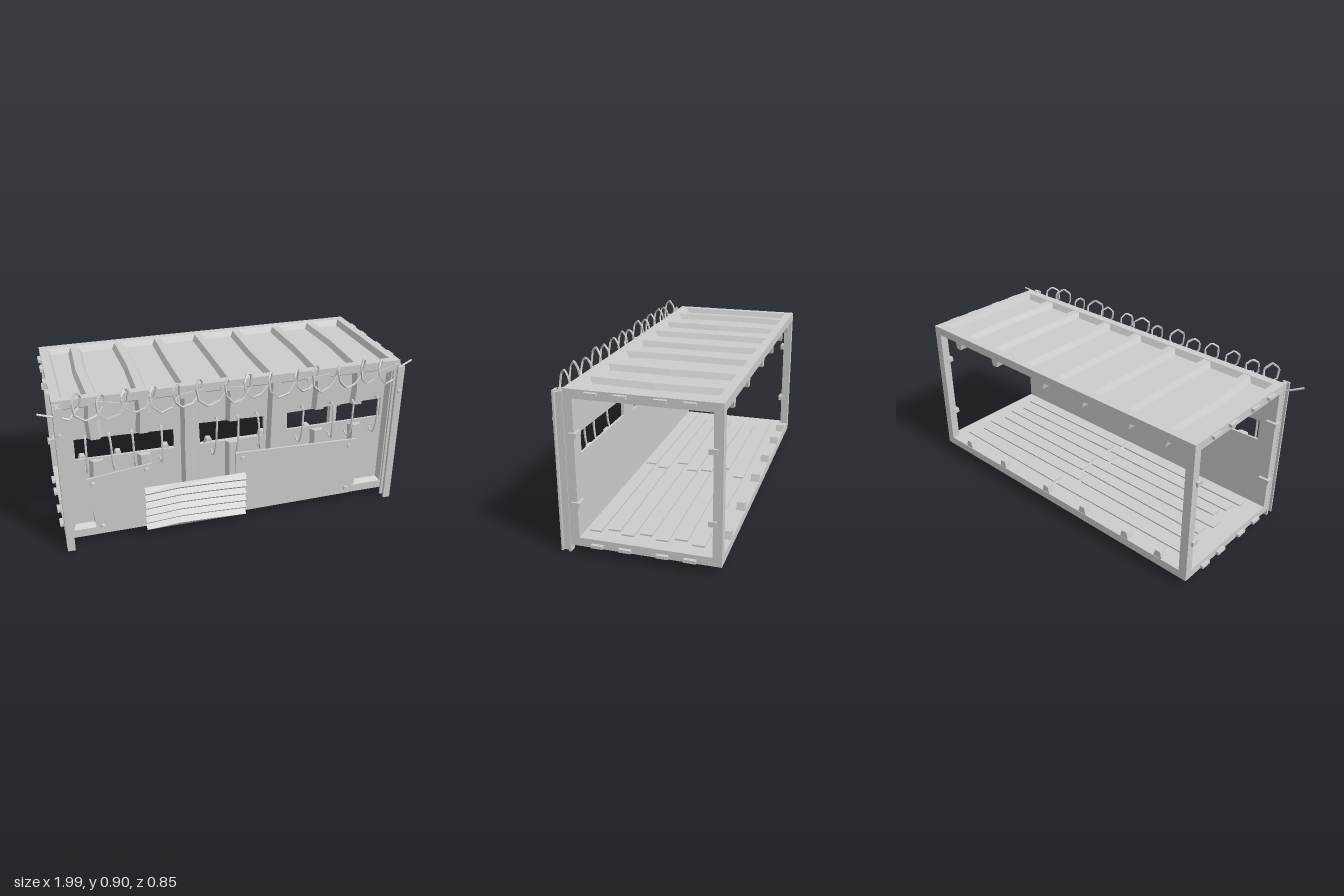
import * as THREE from 'three';

const grey = new THREE.MeshStandardMaterial({ color: 0xcccccc, flatShading: true });
const greyThin = new THREE.MeshStandardMaterial({ color: 0xcccccc, flatShading: true, side: THREE.DoubleSide });

const X0 = -0.92, X1 = 0.935, LEN = X1 - X0, CX = (X0 + X1) / 2;
const Z0 = -0.43, Z1 = 0.32, Y0 = 0.04, Y1 = 0.835, T = 0.045;

function add(parent, name, geo, x = 0, y = 0, z = 0, mat = grey) {
  const m = new THREE.Mesh(geo, mat);
  m.name = name;
  m.position.set(x, y, z);
  parent.add(m);
  return m;
}
const box = (w, h, d) => new THREE.BoxGeometry(w, h, d);

// Beam along z, standing on y = 0; its foot flares by fa (+x side) and fb (-x side), its middle bends sideways
function beam(w, h, len, fa, fb, bend = 0) {
  const g = new THREE.BoxGeometry(w, h, len, 1, 1, 2), p = g.attributes.position;
  for (let i = 0; i < p.count; i++) {
    let x = p.getX(i);
    if (p.getY(i) < 0) x += x > 0 ? fa : -fb;
    if (Math.abs(p.getZ(i)) < 1e-4) x += bend;
    p.setX(i, x);
  }
  return g.translate(0, h / 2, 0);
}

function quad(pts, Type = THREE.Shape) {
  return new Type(pts.map(([x, y]) => new THREE.Vector2(x, y)));
}

// Extruded flat sheet in the xy plane
function sheet(shape, depth) {
  return new THREE.ExtrudeGeometry(shape, { depth, bevelEnabled: false });
}

const ribX = [-0.725, -0.48, -0.245, -0.005, 0.23, 0.48, 0.705];
const bends = [-0.014, 0.01, -0.004, 0.003, -0.008, 0.008, 0.014];

// Ribbed panel: border beams and ribs with sloped sides; outer side is +y
function ribbedPanel(name, width, spans, wobble) {
  const g = new THREE.Group();
  g.name = name;
  for (const s of [-1, 1]) {
    const rail = beam(T, T, LEN, s > 0 ? 0.025 : 0, s < 0 ? 0.025 : 0).rotateY(Math.PI / 2);
    add(g, 'longRail', rail, CX, 0, s * (width / 2 - T / 2));
    const end = beam(T, T, width, s < 0 ? 0.02 : 0, s > 0 ? 0.02 : 0);
    add(g, 'endRail', end, CX + s * (LEN / 2 - T / 2), 0, 0);
  }
  ribX.forEach((x, i) => {
    for (const [a, b] of spans(i)) {
      add(g, 'rib', beam(0.042, 0.03, b - a, 0.017, 0.017, wobble * bends[i]), x, 0.012, (a + b) / 2);
    }
  });
  return g;
}

function buildShell(root) {
  const depth = Z1 - Z0, zc = (Z0 + Z1) / 2, h = Y1 - Y0, yc = (Y0 + Y1) / 2;
  const full = () => [[-depth / 2 + 0.03, depth / 2 - 0.03]];

  const roof = ribbedPanel('roof', depth, full, 1);
  add(roof, 'roofSheet', box(LEN - 0.04, 0.013, depth - 0.04), CX, 0.0065, 0);
  roof.position.set(0, Y1 - T, zc);

  const floor = ribbedPanel('floor', depth, full, 0);
  add(floor, 'floorSheet', box(LEN - 0.04, 0.013, depth - 0.04), CX, 0.0065, 0);
  floor.rotation.x = Math.PI;
  floor.position.set(0, Y0 + T, zc);

  // Front wall: ribs are cut where a window crosses them
  const front = ribbedPanel('frontWall', h, i => (i === 2 || i === 4
    ? [[0.07, 0.80]] : [[0.07, 0.475], [0.6, 0.80]]).map(([a, b]) => [yc - b, yc - a]), 0.6);
  front.rotation.x = Math.PI / 2;
  front.position.set(0, yc, Z1 - T);
  root.add(roof, floor, front);

  const wall = quad([[X0 + 0.02, Y0 + 0.02], [X1 - 0.02, Y0 + 0.02], [X1 - 0.02, Y1 - 0.02], [X0 + 0.02, Y1 - 0.02]]);
  const windows = [
    [[-0.83, 0.485], [-0.83, 0.6], [-0.32, 0.585], [-0.32, 0.475]],
    [[-0.18, 0.475], [-0.185, 0.6], [0.17, 0.59], [0.175, 0.475]],
    [[0.31, 0.49], [0.305, 0.59], [0.86, 0.605], [0.86, 0.495]],
  ];
  wall.holes = windows.map(w => quad(w, THREE.Path));
  add(root, 'frontWallSheet', sheet(wall, 0.013), 0, 0, Z1 - T);

  for (const x of [X0 + T / 2, X1 - T / 2]) add(root, 'backPost', box(T, h, T), x, yc, Z0 + T / 2);
}

function buildBrackets(root) {
  for (const s of [-1, 1]) {
    const x = s < 0 ? X0 : X1;
    // Clips on the end frames
    for (const y of [0.055, 0.82]) {
      for (const z of [0.18, 0.04, -0.145, -0.28]) {
        add(root, 'endTab', box(0.036, 0.016, 0.06), x, y, z);
      }
    }
    for (const y of [0.26, 0.612]) {
      for (const [z, turn] of [[0.28, 1], [Z0 + T, -1]]) {
        const clip = beam(0.02, 0.042, 0.06, 0.007, 0.007).translate(0, -0.021, 0);
        const m = add(root, 'postClip', clip, x - s * 0.018, y, z);
        m.rotation.set(0, Math.PI / 2, 0);
        m.geometry.rotateX(0).rotateZ(Math.PI / 2).rotateX(turn > 0 ? -Math.PI / 2 : Math.PI / 2).rotateY(Math.PI / 2).rotateZ(Math.PI / 2);
        m.rotation.set(0, 0, 0);
        m.geometry = box(0.06, 0.026, 0.04);
      }
    }
  }
  // Tapered brackets along the open back
  for (const x of [0.73, 0.42, 0.06, -0.22, -0.52, -0.74]) {
    add(root, 'lowerBracket', beam(0.03, 0.045, 0.045, 0.012, 0.012), x, Y0 + T - 0.005, Z0 + 0.025);
    const up = add(root, 'upperBracket', beam(0.03, 0.045, 0.045, 0.012, 0.012), x, Y1 - T + 0.005, Z0 + 0.025);
    up.rotation.z = Math.PI;
  }
}

function buildFloorboards(root) {
  const rows = [0.225, 0.14, 0.055, -0.03, -0.115, -0.2, -0.3];
  rows.forEach((z, i) => {
    const split = 0.03 + 0.05 * Math.sin(i * 2.3);
    for (const [a, b] of [[-0.82 + 0.03 * (i % 3), split - 0.01], [split + 0.01, 0.86 - 0.03 * (i % 2)]]) {
      const m = add(root, 'floorboard', box(b - a, 0.008, 0.062), (a + b) / 2, Y0 + T + 0.004, z);
      m.rotation.y = 0.012 * Math.sin(i * 1.7 + a * 3);
    }
  });
}

function bolt(root, x, y, z, r = 0.015) {
  add(root, 'bolt', new THREE.CylinderGeometry(r * 0.75, r, 0.012, 8).rotateX(Math.PI / 2), x, y, z);
}

function buildFrontArmour(root) {
  // Patched plates
  const plates = [
    [[-0.79, 0.39], [-0.755, 0.06], [-0.43, 0.085], [-0.45, 0.43]],
    [[0.0, 0.42], [0.01, 0.05], [0.69, 0.055], [0.71, 0.4]],
  ];
  plates.forEach((p, i) => add(root, 'patchPlate', sheet(quad(p), 0.012), 0, 0, 0.325 + 0.006 * i));
  for (const [x, y] of [[-0.76, 0.36], [-0.48, 0.4], [-0.725, 0.1], [0.04, 0.385], [0.66, 0.365], [0.66, 0.09]]) bolt(root, x, y, 0.346);

  // Corrugated sheet, pleated row by row
  const g = new THREE.PlaneGeometry(0.55, 0.265, 3, 12), p = g.attributes.position;
  for (let i = 0; i < p.count; i++) {
    const row = Math.floor(i / 4), col = i % 4;
    p.setZ(i, row % 2 ? 0.014 : -0.012);
    if (row > 0 && row < 12) p.setY(i, p.getY(i) + [-0.004, 0.008, 0.003, -0.006][col]);
  }
  add(root, 'corrugatedSheet', g, -0.225, 0.175, 0.375, greyThin);

  // Bent window bars
  for (const x of [-0.78, -0.65, -0.54, -0.395, -0.11, 0.01, 0.13, 0.37, 0.55, 0.66, 0.81]) {
    const k = 0.012 * Math.sin(x * 40);
    const path = new THREE.CatmullRomCurve3([[-k, 0.44, 0.29], [-k, 0.425, 0.33], [0, 0.47, 0.343],
      [k * 0.5, 0.58, 0.343], [k, 0.63, 0.33], [k, 0.62, 0.29]].map(([a, b, c]) => new THREE.Vector3(x + a, b, c)));
    add(root, 'windowBar', new THREE.TubeGeometry(path, 12, 0.006, 5), 0, 0, 0);
  }

  // Channel posts on both front corners
  for (const x of [-0.9, 0.915]) {
    const post = new THREE.Group();
    post.name = 'frontPost';
    add(post, 'innerFlange', box(0.04, 0.82, 0.012), x, 0.41, 0.328);
    add(post, 'web', box(0.012, 0.82, 0.035), x, 0.41, 0.349);
    add(post, 'outerFlange', box(0.04, 0.82, 0.01), x, 0.41, 0.369);
    bolt(post, x, 0.675, 0.379, 0.012);
    root.add(post);
  }
}

// Coiled wire along the top edge: angular loops that lean sideways
function buildWire(root) {
  const turns = 14, steps = 7, pts = [new THREE.Vector3(-0.995, 0.81, 0.385), new THREE.Vector3(-0.94, 0.785, 0.37)];
  for (let i = 0; i <= turns * steps; i++) {
    const a = Math.PI * 1.15 + (i / steps) * Math.PI * 2;
    const n = Math.sin(i * 0.53) * 0.15 + 1;
    pts.push(new THREE.Vector3(
      -0.87 + 1.74 * i / (turns * steps) - 0.052 * n * Math.sin(a) + 0.012 * Math.sin(i * 0.31),
      0.81 + 0.07 * n * Math.cos(a),
      0.372 + 0.038 * n * Math.sin(a)));
  }
  pts.push(new THREE.Vector3(0.93, 0.815, 0.35), new THREE.Vector3(0.995, 0.832, 0.33));
  const path = new THREE.CurvePath();
  for (let i = 1; i < pts.length; i++) path.add(new THREE.LineCurve3(pts[i - 1], pts[i]));
  path.arcLengthDivisions = 400;
  add(root, 'coiledWire', new THREE.TubeGeometry(path, 420, 0.006, 4), 0, 0, 0);

  // Flat straps holding the coil
  for (const [x, tilt] of [[-0.66, -0.2], [-0.23, 0.12], [-0.02, -0.15], [0.45, 0.1], [0.86, 0.3]]) {
    const m = add(root, 'wireStrap', box(0.13, 0.025, 0.008), x, 0.8, 0.345);
    m.rotation.z = tilt;
  }
}

export function createModel() {
  const root = new THREE.Group();
  root.name = 'containerShelter';
  buildShell(root);
  buildBrackets(root);
  buildFloorboards(root);
  buildFrontArmour(root);
  buildWire(root);
  return root;
}
